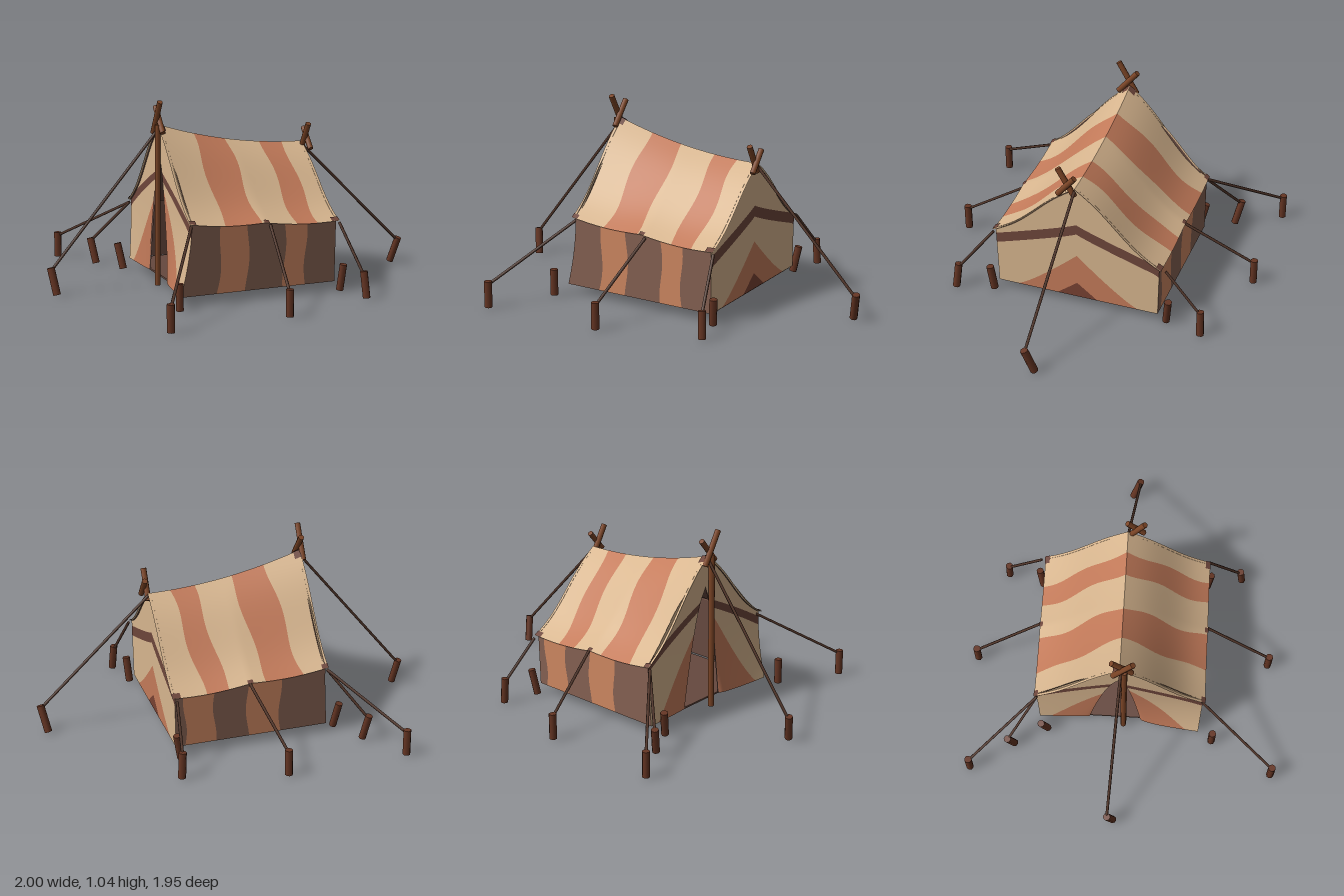
import * as THREE from 'three';

const cloth = (color, name) => new THREE.MeshStandardMaterial({ color, name, side: THREE.DoubleSide });
const M = {
  cream: cloth(0xd8b68f, 'cream canvas'),
  orange: cloth(0xc47b5a, 'orange canvas'),
  wallOrange: cloth(0xcf8862, 'light orange canvas'),
  brown: cloth(0x866253, 'brown canvas'),
  trim: cloth(0x6e463b, 'dark trim'),
  russet: cloth(0x784232, 'russet canvas'),
  dark: cloth(0x66493f, 'dark lining'),
  wood: new THREE.MeshStandardMaterial({ color: 0x7c4526, name: 'pole wood' }),
  stake: new THREE.MeshStandardMaterial({ color: 0x653523, name: 'stake wood' }),
  rope: new THREE.MeshStandardMaterial({ color: 0x52362a, name: 'rope' }),
};
const { lerp, clamp } = THREE.MathUtils;
const BASE = 0.05, EAVE_U = 0.475, END = 0.435, GABLE = 0.42;

// Cloth strip on surface map(t, a), between the edge curves a = lo(t) and a = hi(t)
function strip(parent, name, mat, map, lo, hi, n = 24, m = 10, t0 = 0, t1 = 1) {
  const pos = [], idx = [];
  for (let i = 0; i <= n; i++) {
    const t = lerp(t0, t1, i / n);
    for (let j = 0; j <= m; j++) pos.push(...map(t, lerp(lo(t), hi(t), j / m)));
  }
  for (let i = 0; i < n; i++) for (let j = 0; j < m; j++) {
    const a = i * (m + 1) + j, b = a + m + 1;
    idx.push(a, b, a + 1, b, b + 1, a + 1);
  }
  const g = new THREE.BufferGeometry();
  g.setAttribute('position', new THREE.Float32BufferAttribute(pos, 3));
  g.setIndex(idx);
  g.computeVertexNormals();
  const mesh = new THREE.Mesh(g, mat);
  mesh.name = name;
  parent.add(mesh);
}

// Consecutive bands across one surface: edges[k]..edges[k+1] takes mats[k]
function bands(parent, name, map, edges, mats, n) {
  mats.forEach((mat, k) => strip(parent, name, mat, map, edges[k], edges[k + 1], n));
}

// Round bar between two points
function bar(parent, name, mat, a, b, r, sides = 8) {
  const A = new THREE.Vector3(...a), B = new THREE.Vector3(...b);
  const mesh = new THREE.Mesh(new THREE.CylinderGeometry(r, r, A.distanceTo(B), sides), mat);
  mesh.position.copy(A).lerp(B, 0.5);
  mesh.quaternion.setFromUnitVectors(new THREE.Vector3(0, 1, 0), B.sub(A).normalize());
  mesh.name = name;
  parent.add(mesh);
}

// Tent shape rules; the roof is bell-shaped across and sags along the ridge
const along = (w) => clamp((w + END) / (2 * END), 0, 1);
const ridgeY = (w) => 0.755 + 0.145 * along(w) ** 2;
const eaveY = (s, w) => (s > 0 ? 0.39 : 0.345) + 0.05 * along(w) - 0.013 * Math.abs(Math.sin(2 * Math.PI * along(w)));
const bell = (t) => t - 0.04 * Math.sin(2 * Math.PI * t) + 0.03 * Math.sin(Math.PI * t);
const roofY = (s, t, w) => lerp(ridgeY(w), eaveY(s, w), bell(t));
const low = (y) => clamp(1 - (y - BASE) / 0.38, 0, 1);
const outer = (y) => 0.465 - 0.008 * low(y);
const flare = (s, y) => (s > 0 ? 0.06 : 0.015) * low(y) ** 1.7;
const wave = (t, p) => 0.01 * Math.sin(9 * t + p);

const roofMap = (s) => (t, w) => [s * EAVE_U * t, roofY(s, t, w), w];
const wallMap = (s) => (t, w) => {
  const y = lerp(BASE, eaveY(s, w), t);
  return [s * outer(y), y, w * GABLE / END + flare(s, y) * along(w) ** 4];
};
const backMap = (s) => (t, y) => [s * t * outer(y), y, -GABLE];
// Front half panel, drawn aside from the doorway
const frontMap = (s) => (t, y) => {
  const gap = (s > 0 ? 0.12 : 0.17) * clamp(1 - (y - BASE) / 0.65, 0, 1) ** 0.6;
  return [s * lerp(gap, outer(y), t), y, GABLE + flare(s, y) * Math.sqrt(t)];
};

function buildCanvas(tent) {
  const lining = new THREE.Group();
  lining.name = 'lining';
  lining.scale.setScalar(0.985);
  lining.position.y = 0.004;
  tent.add(lining);
  const { cream: C, orange: O, wallOrange: W, brown: B, trim: T, russet: R } = M;
  const front = () => END, back = () => -END, ground = () => BASE;

  for (const s of [1, -1]) {
    // Roof with two cross stripes
    const skew = s > 0 ? 0 : 0.06;
    const roofEdge = (w, p) => (t) => w + skew * t + wave(t, p);
    bands(tent, 'roof', roofMap(s), [back, roofEdge(-0.31, 0), roofEdge(-0.18, 1), roofEdge(0.03, 2), roofEdge(0.23, 4), front],
      [C, O, C, O, C], 24);
    strip(lining, 'roofLining', M.dark, roofMap(s), back, front);

    // Side wall with two upright stripes
    const wallEdge = (w, p) => (t) => w + wave(t * 0.6, p);
    const w = s > 0 ? [-0.25, -0.12, 0.1, 0.26] : [-0.38, -0.21, -0.02, 0.17];
    bands(tent, 'sideWall', wallMap(s), [back, ...w.map(wallEdge), front], [B, W, B, W, B], 12);
    strip(lining, 'wallLining', M.dark, wallMap(s), back, front, 12, 24);

    // Trim patches along the eave and at the front of the ridge
    const patch = (t, z) => {
      const [x, y] = roofMap(s)(t, z);
      return [x + s * 0.003, y + 0.004, z];
    };
    for (const [a, b, t0, t1] of [[-END, -0.39, 0.94, 1], [-0.02, 0.01, 0.96, 1], [0.4, END, 0.95, 1], [0.395, END, 0, 0.07]]) {
      strip(tent, 'trimPatch', T, patch, () => a, () => b, 3, 5, t0, t1);
    }

    // Back gable: chevron above a nested triangle
    const topB = (t) => roofY(s, Math.min(1, t * 0.97), -GABLE);
    const bHi = (t) => Math.min(topB(t), 0.52 - 0.16 * t ** 0.9);
    const bLo = (t) => bHi(t) - 0.06;
    const bTri = (t) => BASE + 0.27 * Math.max(0, 1 - t / 0.76) ** 1.2;
    const bIn = (t) => BASE + 0.09 * Math.max(0, 1 - t / 0.25);
    bands(tent, 'backGable', backMap(s), [ground, bIn, bTri, bLo, bHi, topB], [R, O, C, T, C], 32);
    strip(lining, 'backLining', M.dark, backMap(s), ground, topB);

    // Front gable half with its door flap
    const topF = (t) => roofY(s, Math.min(1, t * 0.97), GABLE);
    const fHi = (t) => Math.min(topF(t), 0.64 - 0.23 * t);
    const fLo = (t) => fHi(t) - 0.05;
    const fTri = (t) => BASE + (s > 0 ? 0.5 : 0.42) * Math.max(0, 1 - t / 0.8) ** 1.25;
    bands(tent, 'frontGable', frontMap(s), [ground, fTri, fLo, fHi, topF], [O, C, T, C], 32);
    strip(lining, 'frontLining', M.dark, frontMap(s), ground, topF);
  }

  const floor = new THREE.Mesh(new THREE.BoxGeometry(0.87, 0.01, 0.83), M.dark);
  floor.position.y = BASE;
  floor.name = 'floor';
  tent.add(floor);
}

function buildPoles(tent) {
  bar(tent, 'frontPole', M.wood, [0.025, 0.01, 0.445], [0.025, 0.9, 0.44], 0.017);
  // Crossed sticks at both ends of the ridge
  for (const [x, y, z, k] of [[0.015, 0.86, 0.435, 1], [0.045, 0.72, -0.44, 0.85]]) {
    bar(tent, 'crossedStick', M.wood, [x - 0.05 * k, y - 0.01, z + 0.009], [x + 0.055 * k, y + 0.17 * k, z + 0.009], 0.016);
    bar(tent, 'crossedStick', M.wood, [x + 0.05 * k, y, z - 0.009], [x - 0.06 * k, y + 0.13 * k, z - 0.009], 0.016);
  }
}

// Stakes [x, z, tilt x, tilt z] and the point each rope runs to, if any
const A = [-0.49, 0.38, -0.03];
const STAKES = [
  [[-0.98, 0.02, 0, 0], A],
  [[-0.71, 0.03, -0.04, 0], A],
  [[-0.5, 0.05, -0.04, 0]],
  [[-0.46, 0.71, -0.04, 0], [-0.1, 0.88, 0.23]],
  [[-0.61, -0.535, 0, 0], [-0.25, 0.37, -0.4]],
  [[-0.19, -0.895, 0, 0.01], [-0.04, 0.34, -0.75]],
  [[-0.05, -0.755, 0, -0.03]],
  [[0.74, -0.96, 0.05, 0], [0.38, 0.74, -0.48]],
  [[0.97, -0.15, -0.02, 0], [0.77, 0.38, -0.22]],
  [[0.79, -0.22, 0.02, 0]],
  [[0.815, 0.385, 0, 0], [0.54, 0.4, 0.12]],
  [[0.465, 0.95, 0, 0], [0.27, 0.43, 0.47]],
  [[0.285, 0.605, 0, 0]],
];

export function createModel() {
  const model = new THREE.Group();
  model.name = 'tent';

  const tent = new THREE.Group();
  tent.name = 'tentBody';
  tent.rotation.y = -0.6;
  tent.position.set(0.135, 0, -0.125);
  buildCanvas(tent);
  buildPoles(tent);
  model.add(tent);

  for (const [[x, z, dx, dz], end] of STAKES) {
    const top = [x + dx / 2, 0.15, z + dz / 2];
    bar(model, 'stake', M.stake, [x - dx / 2, 0.005, z - dz / 2], top, 0.021);
    if (end) bar(model, 'guyRope', M.rope, [top[0], 0.13, top[2]], end, 0.008, 6);
  }
  return model;
}
